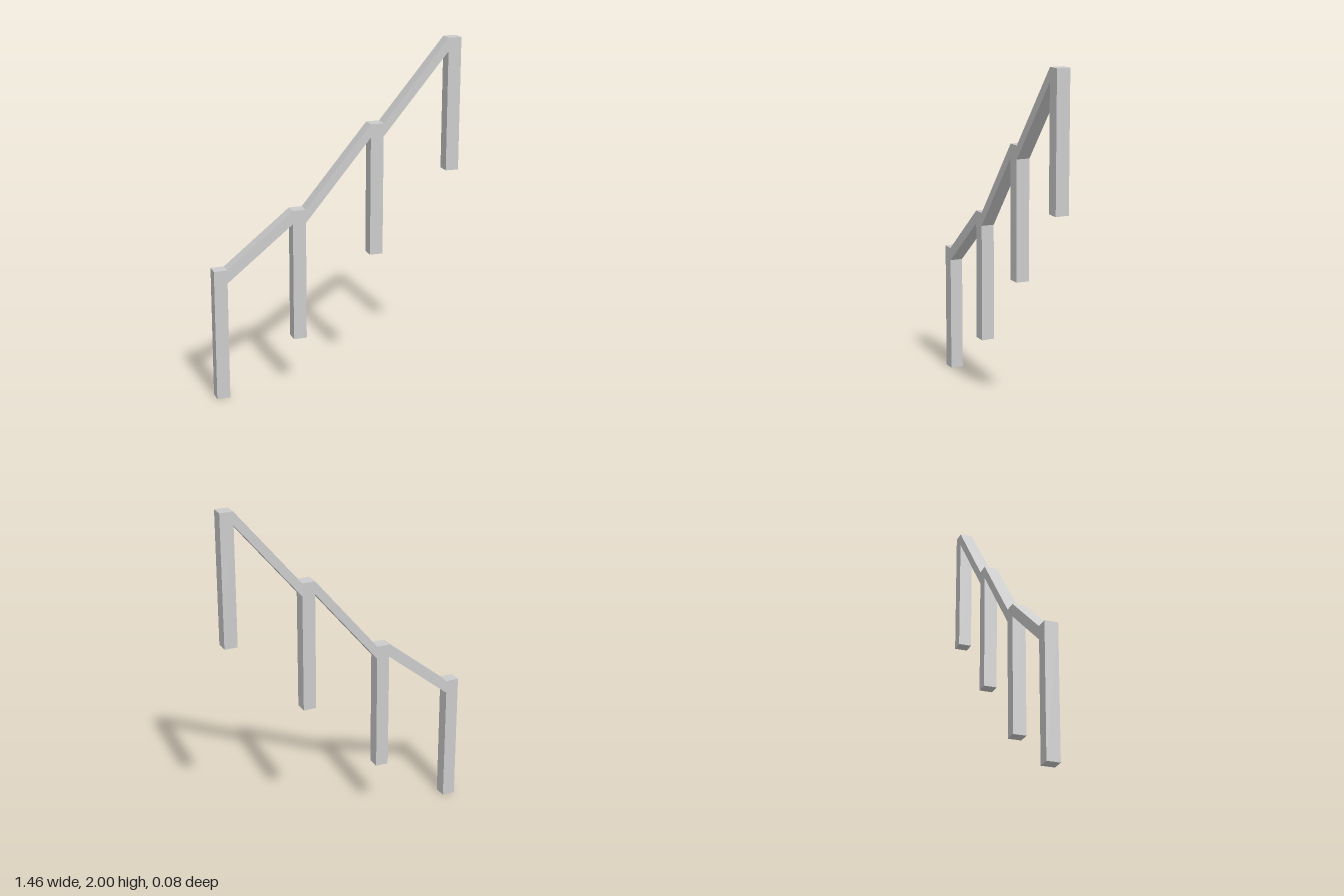
import * as THREE from 'three';

const U = 1 / 13;          // post thickness
const POST_HEIGHT = 10 * U;
const SPACING = 6 * U;     // distance between post centres
const BASES = [0, 4, 10, 16].map((n) => n * U); // height of each post's foot

export function createModel() {
  const group = new THREE.Group();
  group.name = 'stairRailing';
  const material = new THREE.MeshStandardMaterial({ color: 0xcccccc, flatShading: true });

  const add = (name, geometry, x, y) => {
    const mesh = new THREE.Mesh(geometry, material);
    mesh.name = name;
    mesh.position.set(x, y, 0);
    group.add(mesh);
  };

  // Box sheared upward along x, so its ends stay vertical against the posts
  const slopedRail = (length, rise) => {
    const geometry = new THREE.BoxGeometry(length, U, U);
    const p = geometry.attributes.position;
    for (let i = 0; i < p.count; i++) p.setY(i, p.getY(i) + (p.getX(i) / length) * rise);
    geometry.computeVertexNormals();
    return geometry;
  };

  BASES.forEach((base, i) => {
    const x = (i - 1.5) * SPACING;

    // Upright post
    add(`post${i + 1}`, new THREE.BoxGeometry(U, POST_HEIGHT, U), x, base + POST_HEIGHT / 2);

    // Handrail up to the next post
    if (i < BASES.length - 1) {
      const rise = BASES[i + 1] - base;
      add(`handrail${i + 1}`, slopedRail(SPACING - U, rise),
        x + SPACING / 2, base + POST_HEIGHT - U / 2 + rise / 2);
    }
  });

  return group;
}
